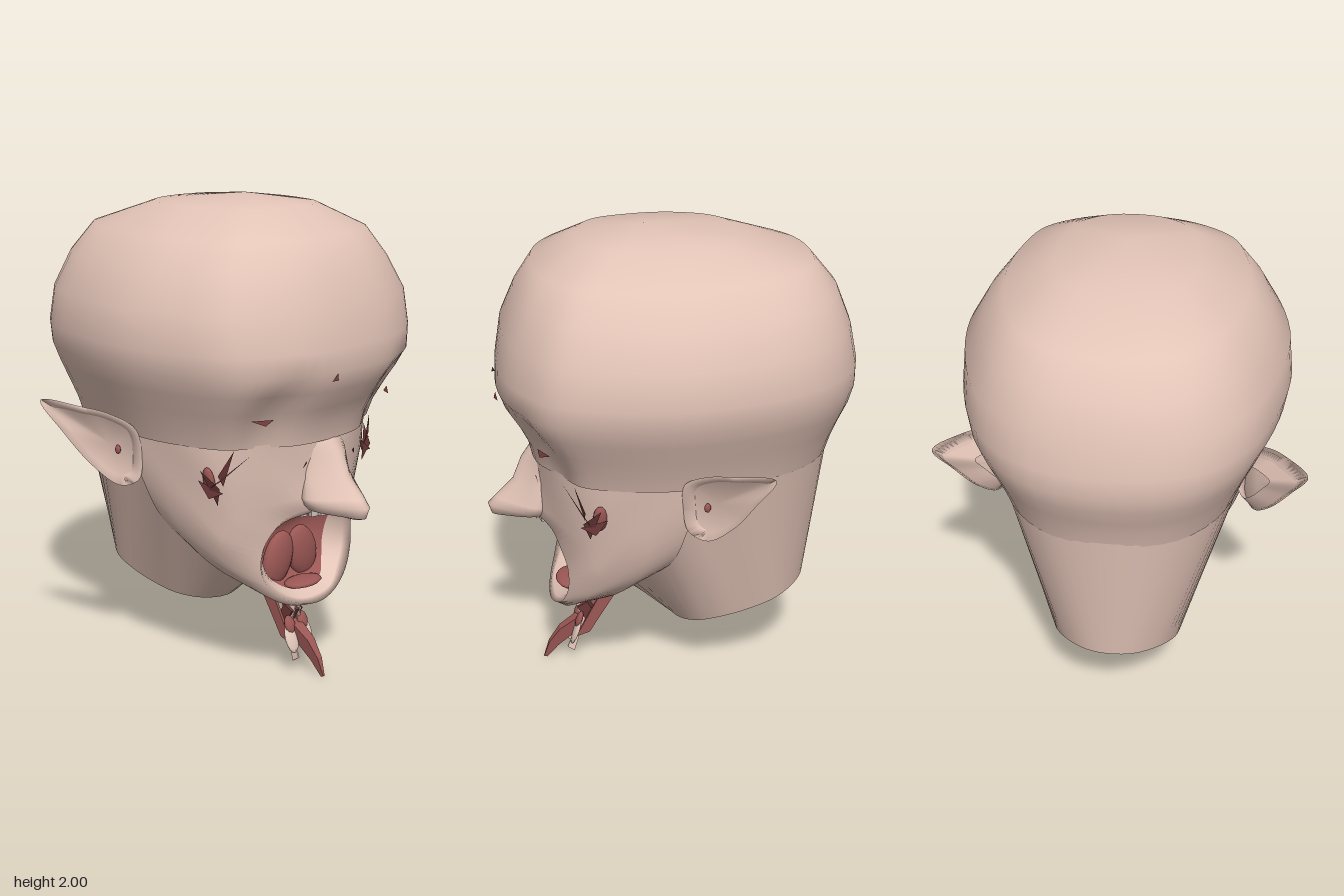
import * as THREE from 'three';

const mat = (name, color) => {
  const m = new THREE.MeshStandardMaterial({ color, side: THREE.DoubleSide });
  m.name = name;
  return m;
};

const V = (p) => new THREE.Vector3(p[0], p[1], p[2]);

// Smooth closed ring through control points
const ring = (pts, n = 64) =>
  new THREE.CatmullRomCurve3(pts.map(V), true).getPoints(n).slice(0, n);

// Half outline (first and last point on the centre line) mirrored into a full ring
const mirrorRing = (half) =>
  ring([...half, ...half.slice(1, -1).reverse().map(([x, y, z]) => [-x, y, z])]);

// Skin a list of closed rings; an optional end point closes the last one
function loft(rings, end) {
  const n = rings[0].length;
  const verts = rings.flat();
  const idx = [];
  for (let r = 0; r < rings.length - 1; r++) {
    for (let i = 0; i < n; i++) {
      const a = r * n + i, b = r * n + (i + 1) % n;
      idx.push(a, b, b + n, a, b + n, a + n);
    }
  }
  if (end) {
    const base = (rings.length - 1) * n;
    for (let i = 0; i < n; i++) idx.push(base + i, base + (i + 1) % n, verts.length);
    verts.push(V(end));
  }
  const g = new THREE.BufferGeometry().setFromPoints(verts);
  g.setIndex(idx);
  g.computeVertexNormals();
  return g;
}

// Thin plate drawn in the z-y plane, centred on x
function sidePlate(zy, thick) {
  const g = new THREE.ExtrudeGeometry(
    new THREE.Shape(zy.map(([z, y]) => new THREE.Vector2(-z, y))),
    { depth: thick, bevelEnabled: false });
  return g.translate(0, 0, -thick / 2).rotateY(Math.PI / 2);
}

export function createModel() {
  const skin = mat('skin', 0xe3c4b7);
  const red = mat('mouthRed', 0x9c5855);
  const dark = mat('darkRed', 0x6b3838);
  const pale = mat('palePink', 0xeed2c4);
  const ivory = mat('teethIvory', 0xcfc3ba);
  const model = new THREE.Group();
  const add = (name, geo, material, parent = model) => {
    const m = new THREE.Mesh(geo, material);
    m.name = name;
    parent.add(m);
    return m;
  };

  // Skull: height, half width, front z, back z, applied to one unit outline
  const levels = [
    [1.05, .53, .59, .67], [1.12, .555, .605, .69], [1.2, .59, .645, .72],
    [1.28, .625, .695, .755], [1.36, .66, .725, .775], [1.45, .675, .72, .775],
    [1.6, .66, .695, .745], [1.74, .58, .635, .69], [1.86, .49, .56, .59], [1.96, .29, .38, .29],
  ];
  const outline = mirrorRing([[0, 0, 1], [.37, 0, .965], [.655, 0, .85], [.825, 0, .715], [.93, 0, .48],
    [1, 0, .11], [.955, 0, -.26], [.785, 0, -.67], [.48, 0, -.916], [0, 0, -1]]);
  const skullRings = levels.map(([y, w, zf, zb]) => outline.map((p) => {
    const x = p.x * w;
    let z = p.z * (p.z > 0 ? zf : zb);
    // shallow eye sockets
    if (p.z > 0 && y < 1.3) z -= 0.035 * Math.exp(-(((Math.abs(x) - 0.33) / 0.1) ** 2));
    return new THREE.Vector3(x, y, z);
  }));
  add('skull', loft(skullRings, [0, 2, .1]), skin);

  // Face: rings from brow and jaw edge in to the open lips
  const mouthEdge = [[0, .725, .47], [.1, .725, .45], [.17, .7, .42], [.21, .65, .4],
    [.205, .58, .38], [.19, .52, .38], [.165, .45, .4], [.11, .4, .44], [0, .38, .46]];
  const faceRings = [
    [[0, 1.07, .575], [.2, 1.07, .55], [.37, 1.06, .45], [.49, 1.07, .29], [.525, 1.06, -.03],
      [.47, .8, 0], [.4, .65, .05], [.25, .52, .17], [0, .43, .25]],
    [[0, .92, .58], [.16, .93, .545], [.32, .93, .475], [.445, .92, .36], [.49, .88, .18],
      [.465, .72, .15], [.375, .55, .21], [.2, .4, .32], [0, .34, .4]],
    [[0, .8, .58], [.13, .82, .56], [.26, .8, .49], [.37, .74, .4], [.4, .66, .35],
      [.36, .56, .34], [.28, .44, .4], [.15, .345, .47], [0, .31, .48]],
    [[0, .77, .58], [.1, .77, .57], [.19, .74, .52], [.25, .68, .49], [.28, .6, .465],
      [.28, .5, .465], [.22, .41, .49], [.11, .35, .52], [0, .33, .53]],
    [[0, .745, .56], [.1, .74, .54], [.175, .71, .49], [.225, .655, .455], [.25, .58, .44],
      [.25, .5, .44], [.2, .43, .46], [.11, .37, .5], [0, .355, .51]],
    mouthEdge,
  ].map(mirrorRing);
  add('face', loft(faceRings), skin);

  // Mouth interior
  const throat = mirrorRing(mouthEdge.map(([x, y, z]) => [x * .85, .56 + (y - .56) * .88, z - .08]));
  add('mouthCavity', loft([mirrorRing(mouthEdge), throat], [0, .57, .28]), red);
  for (const s of [-1, 1]) {
    const half = new THREE.SphereGeometry(1, 16, 10);
    half.scale(.085, .12, .035).rotateZ(s * .35).translate(s * .075, .5, .365);
    add('tongueHalf', half, red);
  }
  add('tongueTip', new THREE.SphereGeometry(1, 16, 8).scale(.1, .018, .06).translate(0, .4, .44), red);
  for (let i = -3; i <= 3; i++) {
    const tooth = new THREE.BoxGeometry(.034, .035, .02);
    tooth.rotateY(i * .12).translate(i * .034, .745, .575 - i * i * .006);
    add('upperTooth', tooth, ivory);
  }

  // Nose: height at tip, half width, front z, height at back; sides flare into the cheeks
  const nose = [[1.08, .06, .57, 1.08], [1, .052, .63, 1], [.9, .055, .67, .9],
    [.825, .065, .745, .82], [.79, .06, .78, .79], [.745, .05, .765, .775], [.735, .035, .735, .775]]
    .map(([y, w, zf, yb]) => Array.from({ length: 32 }, (_, i) => {
      const a = i / 32 * Math.PI * 2, k = (1 + Math.cos(a)) / 2;
      return new THREE.Vector3(w * Math.sin(a) * (1 + 2.6 * (1 - k) ** 1.5),
        yb + (y - yb) * k, .51 + (zf - .51) * k);
    }));
  add('nose', loft(nose, [0, .77, .64]), skin);

  // Neck: open slanted bottom rising to jaw and skull
  add('neck', loft([
    [[0, .22, 0], [.13, .235, -.03], [.22, .265, -.1], [.26, .3, -.2], [.275, .333, -.3],
      [.26, .367, -.42], [.2, .388, -.51], [.1, .4, -.58], [0, .405, -.6]],
    [[0, .43, .25], [.25, .52, .17], [.4, .65, .05], [.46, .8, 0], [.52, 1.07, -.03],
      [.49, 1.07, -.25], [.405, 1.07, -.47], [.245, 1.07, -.62], [0, 1.07, -.675]],
  ].map(mirrorRing)), skin);

  // Ears, eye slivers and brow marks, mirrored
  const rim = [[.545, 1.085, .01], [.61, 1.145, -.07], [.68, 1.172, -.16], [.77, 1.19, -.31],
    [.71, 1.06, -.25], [.62, .91, -.17], [.55, .83, -.08], [.51, .86, -.01], [.51, .96, .01]];
  const shrink = (k, c) => rim.map((p) => p.map((v, i) => c[i] + (v - c[i]) * k));
  const bowl = [.59, 1.02, -.12];
  const slivers = [
    [[.36, 1.03, .48], [.5, .9, .38], [.46, .93, .41]],
    [[.51, .97, .34], [.45, .82, .38], [.47, .9, .41]],
    [[.42, 1.05, .44], [.44, .9, .4], [.47, .95, .4]],
    [[.49, .92, .31], [.46, .88, .42], [.48, .85, .36]],
    [[.34, 1.185, .575], [.42, 1.185, .53], [.38, 1.165, .57]],
    [[.14, 1.36, .728], [.165, 1.33, .72], [.145, 1.335, .735]],
    [[.14, .97, .575], [.16, .95, .57], [.15, .98, .58]],
  ];
  for (const s of [1, -1]) {
    const side = new THREE.Group();
    side.name = s > 0 ? 'leftSide' : 'rightSide';
    side.scale.x = s;
    model.add(side);
    add('ear', loft([ring(shrink(.5, [.46, .97, -.11])), ring(shrink(.8, [.54, 1, -.23])), ring(rim),
      ring(shrink(.8, bowl).map(([x, y, z]) => [x - .015, y, z - .015]))], [.56, 1, -.12]), skin, side);
    for (const t of slivers) {
      const g = new THREE.BufferGeometry().setFromPoints(t.map(V));
      g.computeVertexNormals();
      add('sliver', g, dark, side);
    }
    add('eyeCorner', new THREE.SphereGeometry(1, 10, 8).scale(.018, .06, .03)
      .rotateZ(-.2).translate(.458, .915, .34), red, side);
    add('earSpot', new THREE.SphereGeometry(1, 8, 6).scale(.01, .02, .014)
      .translate(.56, .985, -.08), red, side);
    // Pale flaps and strips hanging below the chin
    add('chinFlap', new THREE.SphereGeometry(1, 12, 8).scale(.038, .065, .012)
      .rotateX(-.35).translate(.045, .15, .42), pale, side);
    add('flapCap', new THREE.SphereGeometry(1, 10, 8).scale(.03, .04, .014)
      .rotateX(-.35).translate(.04, .205, .405), red, side);
    add('chinStrap', sidePlate([[.43, .36], [.375, .35], [.38, .2], [.43, .05], [.46, .07], [.4, .2]], .008)
      .rotateZ(.12).translate(.05, 0, 0), skin, side);
    add('hangingStrip', sidePlate([[.3, .345], [.245, .325], [.36, .14], [.42, .12]], .012)
      .translate(.04, 0, 0), red, side);
  }

  // Curved hanging blade, tapering to its tip
  const blade = sidePlate([[.36, .22], [.42, .2], [.49, .15], [.54, .08], [.565, .005],
    [.55, 0], [.5, .06], [.42, .13], [.35, .18]], .06);
  const bp = blade.attributes.position;
  for (let i = 0; i < bp.count; i++) bp.setX(i, bp.getX(i) * (.12 + bp.getY(i) * 4));
  blade.computeVertexNormals();
  add('hangingBlade', blade, red);
  add('bladeRoot', new THREE.BoxGeometry(.07, .08, .05).rotateX(.5).translate(0, .24, .37), dark);

  return model;
}
